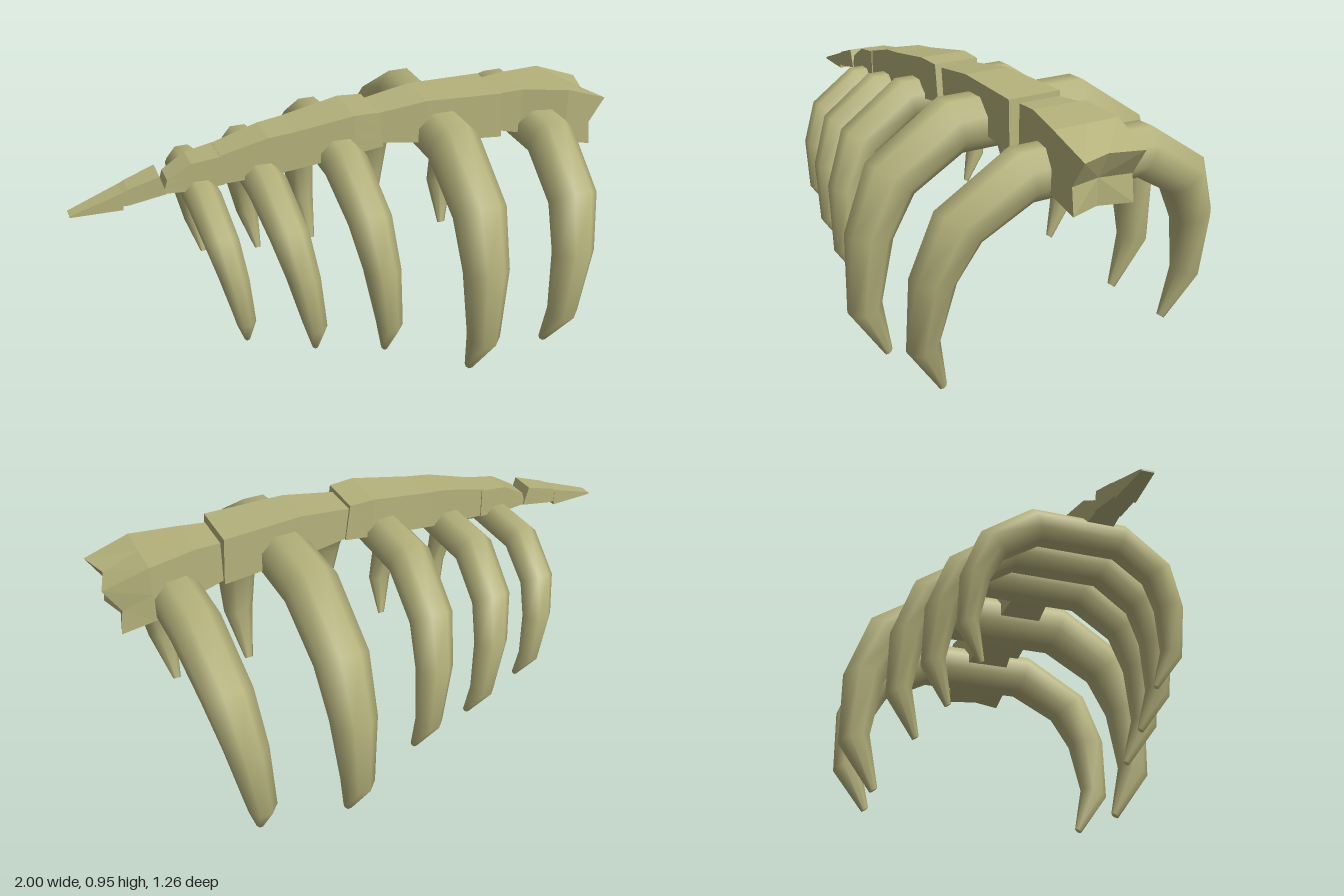
import * as THREE from 'three';

const COLOR = 0xb5b27c;
const smoothBone = new THREE.MeshStandardMaterial({ color: COLOR });
const facetedBone = new THREE.MeshStandardMaterial({ color: COLOR, flatShading: true });

// Closed skin over rings of equal size; each end is a fan to its centre, the last one sunk by endDent in x
function loft(rings, endDent = 0) {
  const n = rings[0].length, pos = [], idx = [];
  rings.forEach(r => r.forEach(p => pos.push(p.x, p.y, p.z)));
  for (let i = 0; i < rings.length - 1; i++)
    for (let j = 0; j < n; j++) {
      const a = i * n + j, b = i * n + (j + 1) % n;
      idx.push(a, b, b + n, a, b + n, a + n);
    }
  [0, rings.length - 1].forEach(i => {
    const c = new THREE.Vector3();
    rings[i].forEach(p => c.addScaledVector(p, 1 / n));
    if (i) c.x -= endDent;
    const k = pos.length / 3;
    pos.push(c.x, c.y, c.z);
    for (let j = 0; j < n; j++) {
      const a = i * n + j, b = i * n + (j + 1) % n;
      if (i) idx.push(a, b, k); else idx.push(b, a, k);
    }
  });
  const g = new THREE.BufferGeometry();
  g.setAttribute('position', new THREE.Float32BufferAttribute(pos, 3));
  g.setIndex(idx);
  g.computeVertexNormals();
  return g;
}

// Spine block section: box outline with edge midpoints, which a notch pulls back along x
function spineRing([x, yBot, yTop, zMin, zMax, xTop = x, notch = 0]) {
  const zm = (zMin + zMax) / 2, ym = (yBot + yTop) / 2, xm = (x + xTop) / 2;
  return [
    [xTop, yTop, zMin], [xTop - notch, yTop, zm], [xTop, yTop, zMax], [xm - notch, ym, zMax],
    [x, yBot, zMax], [x - notch, yBot, zm], [x, yBot, zMin], [xm - notch, ym, zMin],
  ].map(p => new THREE.Vector3(...p));
}

// Rib outline: [share of half span, share of height, share of radius], from crown to tip
const RIB = [[0.43, 1, 1], [0.86, 0.8, 0.95], [1, 0.54, 0.82], [1, 0.215, 0.6], [0.8, 0.005, 0.17]];

function ribGeometry({ xTop, xTip, yTop, yTip, span, radius }) {
  const half = RIB.map(([s, h, r]) => ({ z: s * span, y: yTip + h * (yTop - yTip), r: r * radius, h }));
  const path = [...half.map(p => ({ ...p, z: -p.z })).reverse(), ...half];
  const dir = i => {
    const a = path[i], b = path[i + 1];
    return a && b ? new THREE.Vector2(b.z - a.z, b.y - a.y).normalize() : null;
  };
  const rings = path.map((p, i) => {
    const d0 = dir(i - 1) || dir(i), d1 = dir(i) || d0;
    const t = d0.clone().add(d1).normalize();
    const nz = -t.y, ny = t.x;                       // outward normal in the rib's plane
    const stretch = 1 / t.dot(d1);                   // keeps the thickness through the mitre
    const cx = THREE.MathUtils.lerp(xTip, xTop, p.h);
    const k = p.r / Math.cos(Math.PI / 8);
    return Array.from({ length: 8 }, (_, j) => {
      const a = (j + 0.5) * Math.PI / 4;
      const out = k * Math.cos(a) * stretch - p.r;
      return new THREE.Vector3(cx - k * Math.sin(a), p.y + ny * out, p.z + nz * out);
    });
  });
  return loft(rings);
}

export function createModel() {
  const model = new THREE.Group();
  model.name = 'ribCage';
  const add = (name, geometry, material) => {
    const mesh = new THREE.Mesh(geometry, material);
    mesh.name = name;
    model.add(mesh);
  };

  // Spine blocks, tail to neck: [x, yBottom, yTop, zMin, zMax, xTop, notch]
  const blocks = {
    tailTip: [[-1, 0.697, 0.703, 0.04, 0.085], [-0.82, 0.7, 0.765, 0.025, 0.1]],
    tailBone: [[-0.84, 0.715, 0.755, 0.028, 0.098], [-0.8, 0.715, 0.775, 0.025, 0.102],
      [-0.67, 0.74, 0.81, 0.016, 0.113, -0.69]],
    rearVertebra: [[-0.68, 0.74, 0.79, 0.022, 0.108, -0.665], [-0.58, 0.735, 0.84, 0.015, 0.115],
      [-0.47, 0.745, 0.855, 0.005, 0.125]],
    middleVertebra: [[-0.48, 0.745, 0.855, 0.01, 0.12], [-0.31, 0.755, 0.9, 0, 0.135],
      [-0.22, 0.765, 0.91, -0.005, 0.142], [0, 0.795, 0.945, -0.022, 0.16], [0.11, 0.805, 0.94, -0.018, 0.155, 0.09]],
    frontVertebra: [[0.09, 0.81, 0.925, -0.01, 0.13], [0.28, 0.787, 0.95, -0.025, 0.145],
      [0.58, 0.765, 0.94, -0.04, 0.16, 0.57]],
    neckBone: [[0.58, 0.775, 0.925, -0.03, 0.125], [0.67, 0.755, 0.93, -0.04, 0.135],
      [0.84, 0.71, 0.92, -0.068, 0.178], [0.955, 0.68, 0.865, -0.05, 0.178, 1, 0.035]],
  };
  for (const [name, sections] of Object.entries(blocks))
    add(name, loft(sections.map(spineRing), name === 'neckBone' ? 0.04 : 0), facetedBone);

  // Rib arches, front to back
  [
    { xTop: 0.75, xTip: 0.66, yTop: 0.84, yTip: 0.025, span: 0.59, radius: 0.085 },
    { xTop: 0.345, xTip: 0.335, yTop: 0.893, yTip: 0, span: 0.63, radius: 0.092 },
    { xTop: -0.05, xTip: 0.025, yTop: 0.855, yTip: 0.11, span: 0.525, radius: 0.074 },
    { xTop: -0.33, xTip: -0.225, yTop: 0.8, yTip: 0.145, span: 0.46, radius: 0.067 },
    { xTop: -0.55, xTip: -0.465, yTop: 0.768, yTip: 0.21, span: 0.4, radius: 0.058 },
  ].forEach((r, i) => add(`ribArch${i + 1}`, ribGeometry(r), smoothBone));

  return model;
}
